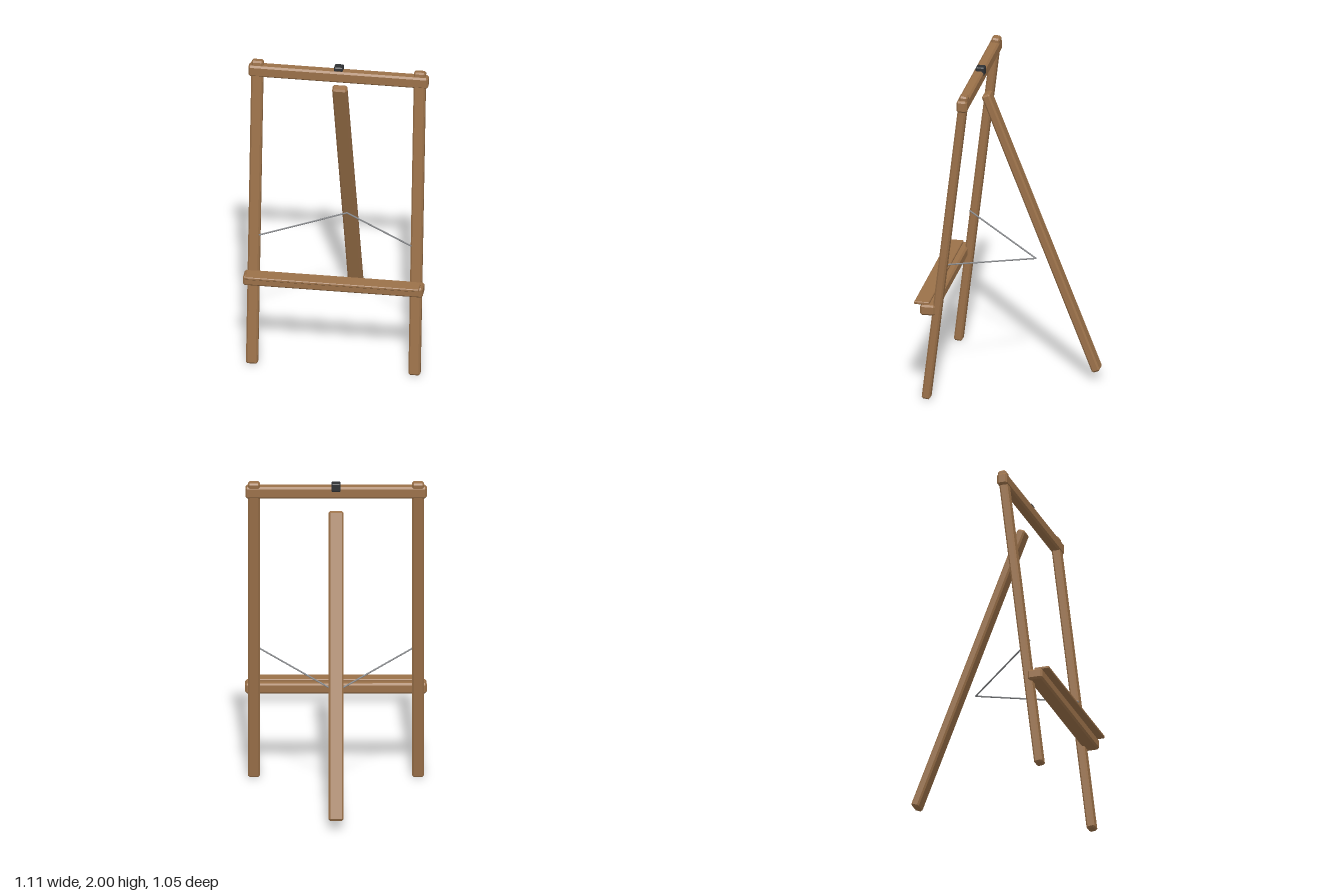
import * as THREE from 'three';
import { ConvexGeometry } from 'three/addons/geometries/ConvexGeometry.js';

// Box with a flat 45 degree chamfer on every edge
function chamferBox(w, h, d, c) {
  const pts = [];
  for (const sx of [-1, 1]) for (const sy of [-1, 1]) for (const sz of [-1, 1]) {
    const [x, y, z] = [w / 2, h / 2, d / 2];
    pts.push(
      new THREE.Vector3(sx * x, sy * (y - c), sz * (z - c)),
      new THREE.Vector3(sx * (x - c), sy * y, sz * (z - c)),
      new THREE.Vector3(sx * (x - c), sy * (y - c), sz * z));
  }
  return new ConvexGeometry(pts);
}

export function createModel() {
  const wood = new THREE.MeshStandardMaterial({ name: 'wood', color: 0x9b7149 });
  const metal = new THREE.MeshStandardMaterial({ name: 'metal', color: 0x8c8e91 });
  const black = new THREE.MeshStandardMaterial({ name: 'black', color: 0x2e3033 });
  const easel = new THREE.Group();
  easel.name = 'easel';

  function add(name, geometry, material, x, y, z) {
    const mesh = new THREE.Mesh(geometry, material);
    mesh.name = name;
    mesh.position.set(x, y, z);
    easel.add(mesh);
    return mesh;
  }

  // Sloping post between two (y, z) end points
  function post(name, x, width, y0, z0, y1, z1) {
    const length = Math.hypot(y1 - y0, z1 - z0);
    const mesh = add(name, chamferBox(width, length, 0.052, 0.01), wood, x, (y0 + y1) / 2, (z0 + z1) / 2);
    mesh.rotation.x = Math.atan2(z1 - z0, y1 - y0);
  }

  // Thin rod between two points
  function rod(name, a, b) {
    const dir = b.clone().sub(a);
    const mid = a.clone().add(b).multiplyScalar(0.5);
    const mesh = add(name, new THREE.CylinderGeometry(0.005, 0.005, dir.length(), 8), metal, mid.x, mid.y, mid.z);
    mesh.quaternion.setFromUnitVectors(new THREE.Vector3(0, 1, 0), dir.normalize());
  }

  // Front legs and the braces that tie them to the back leg
  for (const [side, s] of [['left', 1], ['right', -1]]) {
    post(side + 'FrontLeg', s * 0.5, 0.072, 0.003, 0.46, 1.997, 0.224);
    rod(side + 'Brace', new THREE.Vector3(s * 0.467, 0.86, 0.385), new THREE.Vector3(0, 0.765, -0.12));
  }
  post('backLeg', 0, 0.09, 0.066, -0.502, 1.822, 0.188);

  // Top crossbar with its clamp
  add('topCrossbar', chamferBox(1.106, 0.074, 0.064, 0.011), wood, 0, 1.934, 0.233);
  add('clamp', chamferBox(0.055, 0.055, 0.055, 0.006), black, 0, 1.968, 0.223);

  // Canvas tray with its front lip
  add('trayBar', chamferBox(1.106, 0.066, 0.093, 0.011), wood, 0, 0.59, 0.445);
  add('trayLip', chamferBox(1.07, 0.018, 0.093, 0.004), wood, 0, 0.629, 0.484);

  return easel;
}
